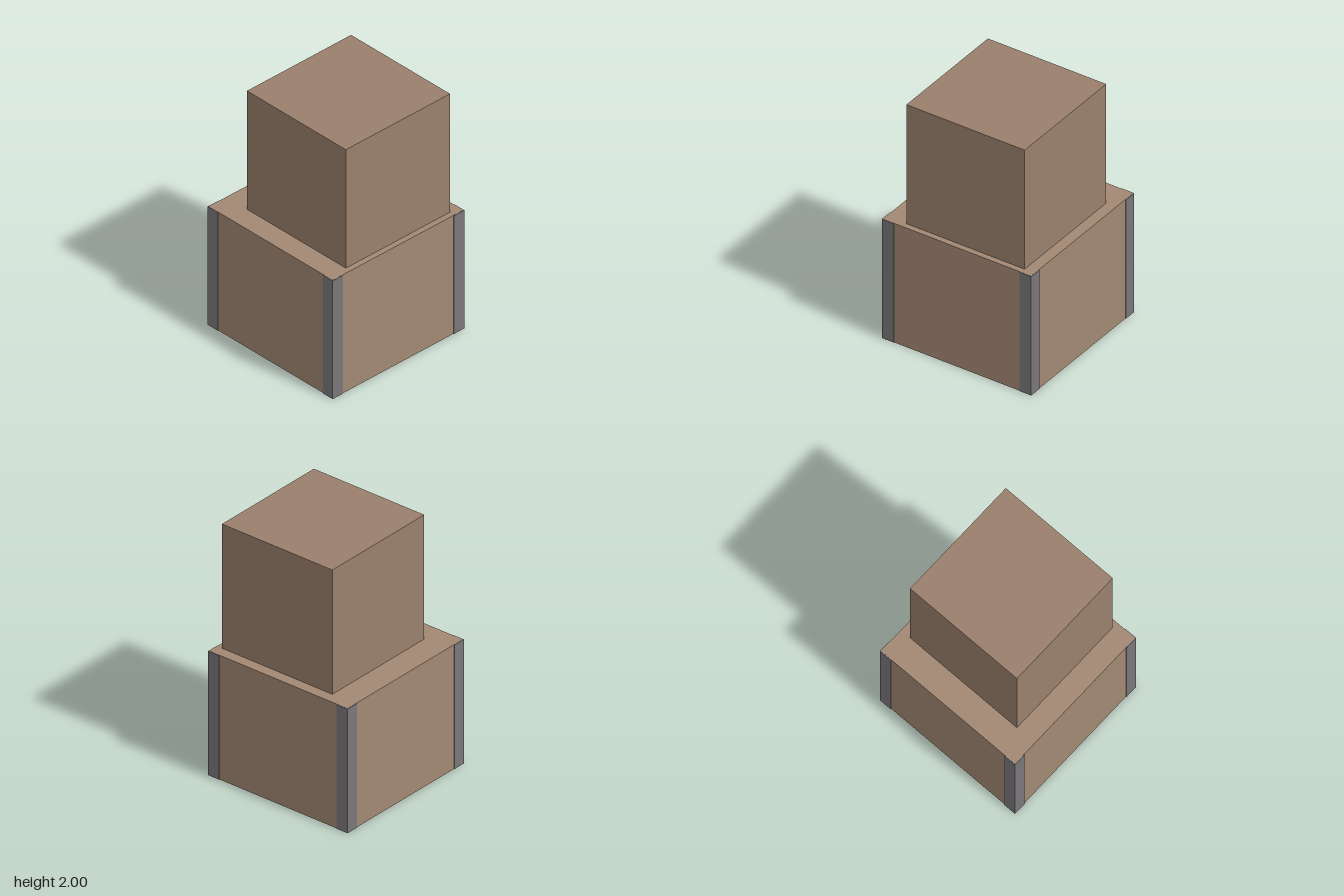
import * as THREE from 'three';

function box(name, size, position, color) {
  const mesh = new THREE.Mesh(
    new THREE.BoxGeometry(...size),
    new THREE.MeshStandardMaterial({ color })
  );
  mesh.name = name;
  mesh.position.set(...position);
  return mesh;
}

export function createModel() {
  const group = new THREE.Group();
  group.name = 'stackedCrates';

  // Large crate below, smaller crate set off-centre on top
  group.add(box('lowerCrate', [1.254, 1, 1.254], [0, 0.5, 0], 0xa28873));
  group.add(box('upperCrate', [1, 1, 1], [0.082, 1.5, -0.042], 0x9a806c));

  // Corner posts stand slightly proud of the lower crate's sides
  const post = 0.1;
  const offset = 0.632 - post / 2;
  for (const [z, depth] of [[offset, 'front'], [-offset, 'back']]) {
    for (const [x, side] of [[offset, 'Left'], [-offset, 'Right']]) {
      group.add(box(`${depth}${side}CornerPost`, [post, 0.998, post], [x, 0.5, z], 0x7a777a));
    }
  }
  return group;
}
